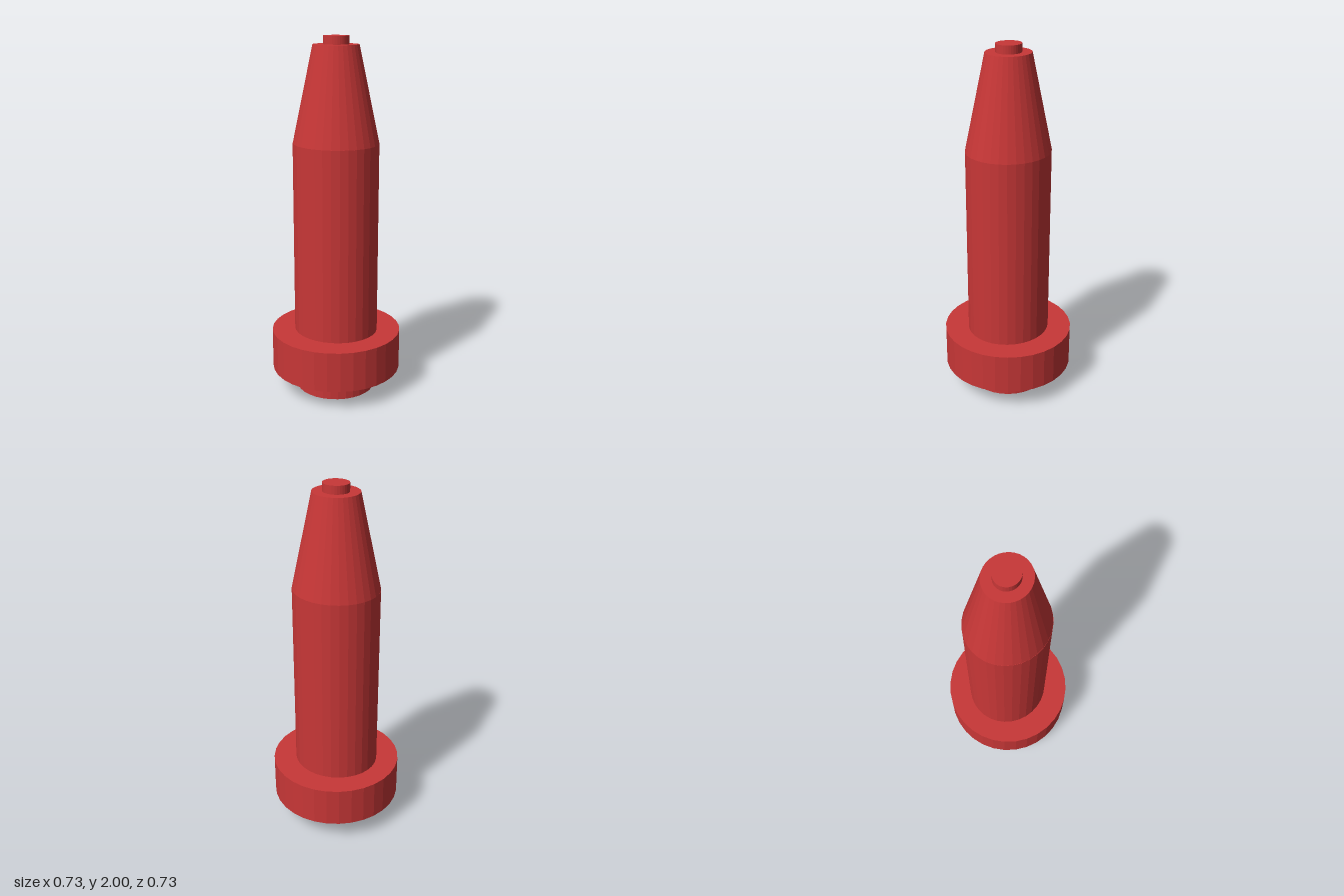
import * as THREE from 'three';

const SIDES = 32;

export function createModel() {
  const group = new THREE.Group();
  const red = new THREE.MeshStandardMaterial({ color: 0xc83737, flatShading: true });

  // One faceted, slightly oval section between heights y0 and y1.
  // Each radius is [x, z]; the end radii share the same oval ratio.
  function section(name, y0, y1, bottom, top, x = 0, z = 0) {
    const geometry = new THREE.CylinderGeometry(top[0], bottom[0], y1 - y0, SIDES);
    geometry.scale(1, 1, bottom[1] / bottom[0]);
    const mesh = new THREE.Mesh(geometry, red);
    mesh.name = name;
    mesh.position.set(x, (y0 + y1) / 2, z);
    group.add(mesh);
  }

  section('foot', 0, 0.12, [0.225, 0.224], [0.225, 0.224], -0.002, 0.001);
  section('flange', 0.12, 0.348, [0.367, 0.367], [0.367, 0.367]);
  section('body', 0.348, 1.428, [0.242, 0.23], [0.242, 0.23], -0.002, -0.001);
  section('taperedNose', 1.428, 1.955, [0.242, 0.23], [0.128, 0.122], -0.002, -0.002);
  section('tipPin', 1.955, 2, [0.072, 0.068], [0.072, 0.068], -0.002, -0.003);

  return group;
}
